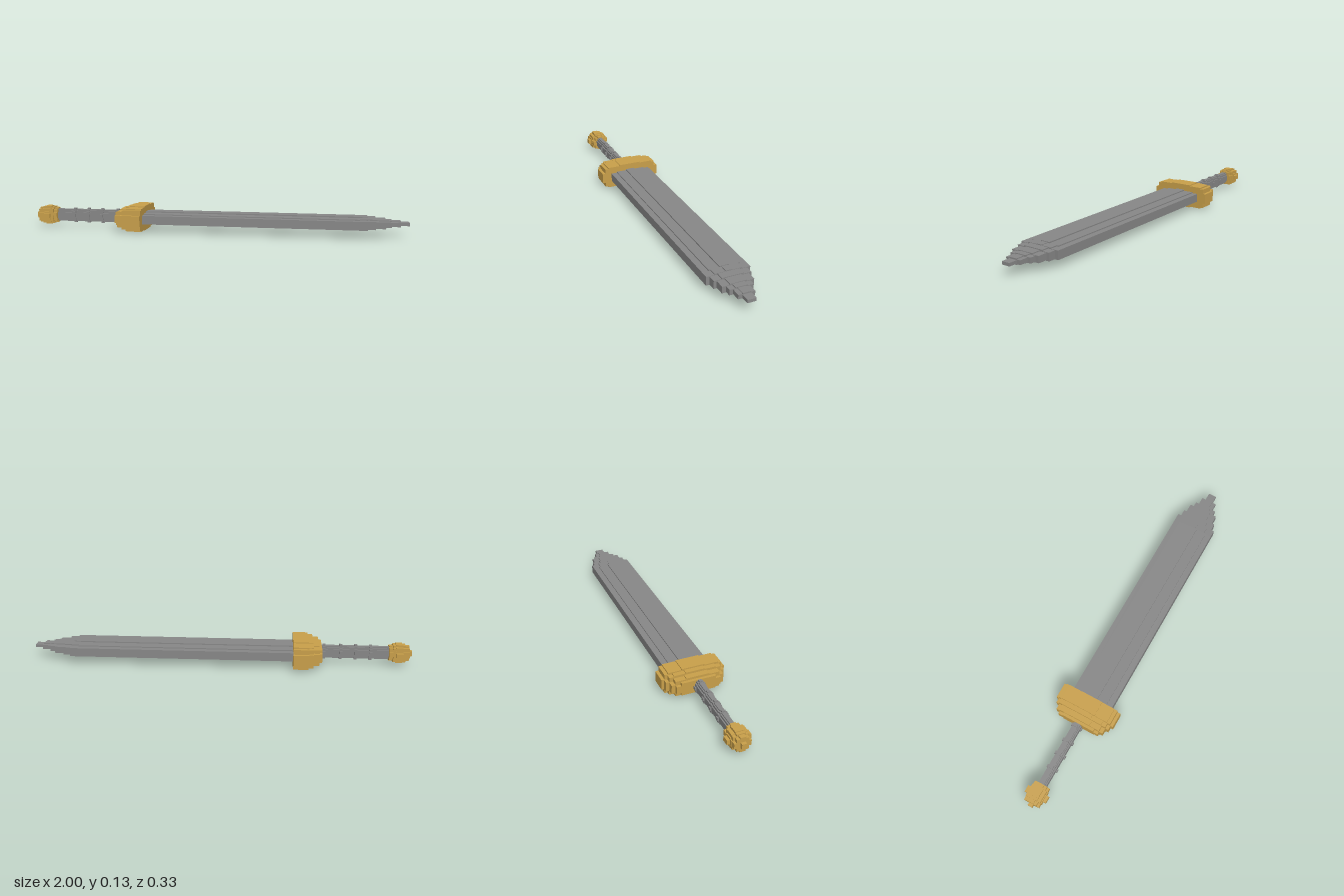
import * as THREE from 'three';

const MID_Y = 0.065;
const steel = new THREE.MeshStandardMaterial({ color: 0x888888, flatShading: true });
const gold = new THREE.MeshStandardMaterial({ color: 0xc9a04a, flatShading: true });

// Stepped symmetric outline; steps are [half width, half height], widest first.
function steppedShape(steps) {
  const quarter = [];
  steps.forEach(([w, h], i) => {
    quarter.push([w, i ? steps[i - 1][1] : 0], [w, h]);
  });
  if (quarter[0][1] === 0) quarter.shift();
  const back = [...quarter].reverse();
  const pts = [
    ...quarter,
    ...back.map(([x, y]) => [-x, y]),
    ...quarter.map(([x, y]) => [-x, -y]),
    ...back.map(([x, y]) => [x, -y]),
  ];
  return new THREE.Shape(pts.map(([x, y]) => new THREE.Vector2(x, y)));
}

// One block running along x from x0 to x1.
function slab(name, x0, x1, steps, material) {
  const geo = new THREE.ExtrudeGeometry(steppedShape(steps), { depth: x1 - x0, bevelEnabled: false });
  geo.rotateY(Math.PI / 2);
  const mesh = new THREE.Mesh(geo, material);
  mesh.name = name;
  mesh.position.set(x0, MID_Y, 0);
  return mesh;
}

// A part made of consecutive slabs: [x0, x1, steps].
function part(name, slabs, material) {
  const group = new THREE.Group();
  group.name = name;
  slabs.forEach(([x0, x1, steps], i) => group.add(slab(`${name}Slab${i + 1}`, x0, x1, steps, material)));
  return group;
}

export function createModel() {
  const sword = new THREE.Group();
  sword.name = 'sword';

  // Ridged blade with a stepped point
  sword.add(part('blade', [
    [-0.38, 0.75, [[0.112, 0.0225], [0.08, 0.028], [0.025, 0.034]]],
    [0.75, 0.79, [[0.112, 0.0225], [0.07, 0.028], [0.015, 0.031]]],
    [0.79, 0.83, [[0.095, 0.0205], [0.055, 0.026]]],
    [0.83, 0.88, [[0.08, 0.017], [0.042, 0.022]]],
    [0.88, 0.91, [[0.06, 0.014], [0.03, 0.019]]],
    [0.91, 0.955, [[0.042, 0.011], [0.02, 0.015]]],
    [0.955, 1.0, [[0.022, 0.008]]],
  ], steel));

  // Guard: flat toward the blade, domed toward the grip
  sword.add(part('guard', [
    [-0.53, -0.515, [[0.115, 0.02], [0.09, 0.035]]],
    [-0.515, -0.485, [[0.135, 0.024], [0.115, 0.042], [0.06, 0.047]]],
    [-0.485, -0.46, [[0.152, 0.026], [0.135, 0.049], [0.11, 0.054], [0.05, 0.058]]],
    [-0.46, -0.38, [[0.165, 0.028], [0.149, 0.053], [0.131, 0.06], [0.06, 0.065]]],
  ], gold));

  // Grip
  sword.add(part('grip', [
    [-0.89, -0.53, [[0.022, 0.016], [0.016, 0.027], [0.01, 0.033]]],
  ], steel));

  // Raised grip rings
  const rings = [-0.785, -0.708, -0.63, -0.543];
  sword.add(part('gripRings', rings.map((x) =>
    [x - 0.008, x + 0.008, [[0.03, 0.008], [0.024, 0.022], [0.016, 0.032], [0.008, 0.04]]]), steel));

  // Blocky ball pommel
  sword.add(part('pommel', [
    [-1.0, -0.985, [[0.012, 0.014]]],
    [-0.985, -0.965, [[0.042, 0.014], [0.03, 0.032], [0.014, 0.04]]],
    [-0.965, -0.95, [[0.045, 0.016], [0.04, 0.035], [0.022, 0.045]]],
    [-0.95, -0.915, [[0.06, 0.012], [0.045, 0.022], [0.04, 0.038], [0.022, 0.049]]],
    [-0.915, -0.9, [[0.045, 0.016], [0.04, 0.035], [0.022, 0.045]]],
    [-0.9, -0.88, [[0.042, 0.014], [0.03, 0.032], [0.014, 0.04]]],
  ], gold));

  return sword;
}
